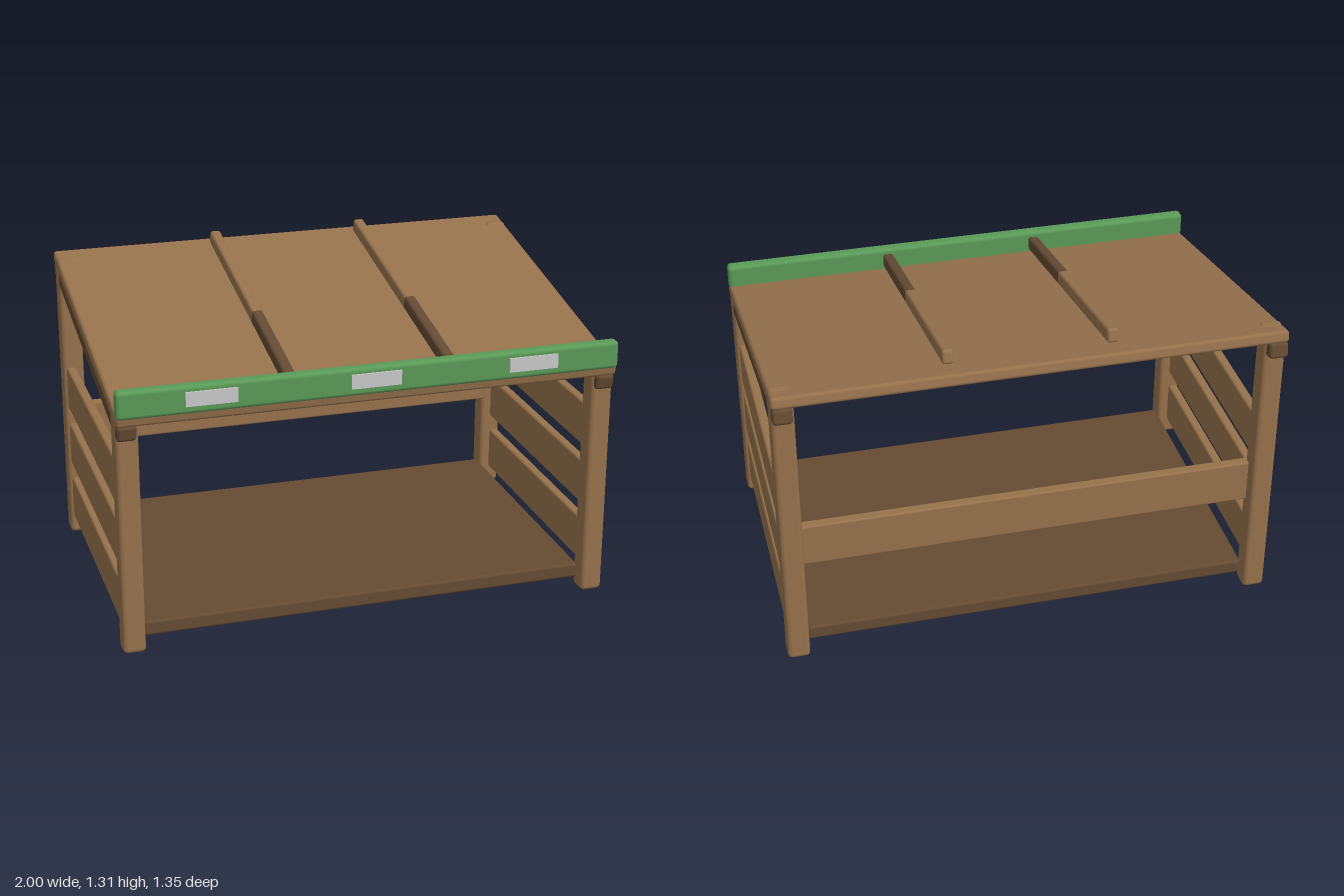
import * as THREE from 'three';
import { RoundedBoxGeometry } from 'three/addons/geometries/RoundedBoxGeometry.js';

export function createModel() {
  const model = new THREE.Group();
  model.name = 'shelter';

  const material = (name, color) => {
    const m = new THREE.MeshStandardMaterial({ color });
    m.name = name;
    return m;
  };
  const wood = material('wood', 0x96724c);
  const darkWood = material('darkWood', 0x644b32);
  const green = material('greenPaint', 0x5a9a57);
  const pale = material('paleGrey', 0xc8c8c8);

  // Softened timber given by its extents on each axis
  const timber = (name, mat, [x0, x1], [y0, y1], [z0, z1], radius = 0.012, parent = model) => {
    const geo = new RoundedBoxGeometry(x1 - x0, y1 - y0, z1 - z0, 2, radius);
    const mesh = new THREE.Mesh(geo, mat);
    mesh.position.set((x0 + x1) / 2, (y0 + y1) / 2, (z0 + z1) / 2);
    mesh.name = name;
    parent.add(mesh);
    return mesh;
  };
  // Extents on one side, mirrored for the other
  const side = (s, a, b) => (s > 0 ? [a, b] : [-b, -a]);

  // Floor and back rail
  timber('floor', darkWood, [-0.91, 0.91], [0.045, 0.107], [-0.59, 0.58]);
  timber('backRail', wood, [-0.925, 0.925], [0.42, 0.602], [-0.585, -0.542], 0.008);

  // Legs and side boards
  for (const s of [1, -1]) {
    const n = s > 0 ? 'left' : 'right';
    timber(n + 'FrontLeg', wood, side(s, 0.91, 1), [0, 0.985], [0.536, 0.626], 0.018);
    timber(n + 'BackLeg', wood, side(s, 0.91, 1), [0, 1.246], [-0.639, -0.549], 0.018);
    [0.085, 0.337, 0.59].forEach((y, i) =>
      timber(n + 'SideBoard' + (i + 1), wood, side(s, 0.948, 0.988), [y, y + 0.184], [-0.54, 0.525], 0.01));
  }

  // Sloping roof, built flat and tilted down towards the front
  const roof = new THREE.Group();
  roof.name = 'roof';
  roof.position.set(0, 1.103, -0.005);
  roof.rotation.x = Math.atan(0.198);
  model.add(roof);
  timber('roofPanel', wood, [-1, 1], [-0.025, 0.025], [-0.673, 0.673], 0.014, roof);
  for (const s of [1, -1]) {
    const n = s > 0 ? 'left' : 'right';
    timber(n + 'RoofBeam', darkWood, side(s, 0.92, 0.997), [-0.087, -0.022], [-0.673, 0.673], 0.014, roof);
    // Roof battens, darker towards the front
    timber(n + 'BattenBack', wood, side(s, 0.297, 0.342), [0.038, 0.096], [-0.6, 0.125], 0.012, roof);
    timber(n + 'BattenFront', darkWood, side(s, 0.297, 0.342), [0.038, 0.096], [0.1, 0.608], 0.012, roof);
  }

  // Green front board with three pale plates
  timber('frontBoard', green, [-1, 1], [0.984, 1.096], [0.615, 0.668], 0.016);
  for (const x of [-0.64, 0, 0.64]) {
    const plate = new THREE.Mesh(new THREE.BoxGeometry(0.2, 0.057, 0.009), pale);
    plate.position.set(x, 1.045, 0.671);
    plate.name = 'plate';
    model.add(plate);
  }

  return model;
}
